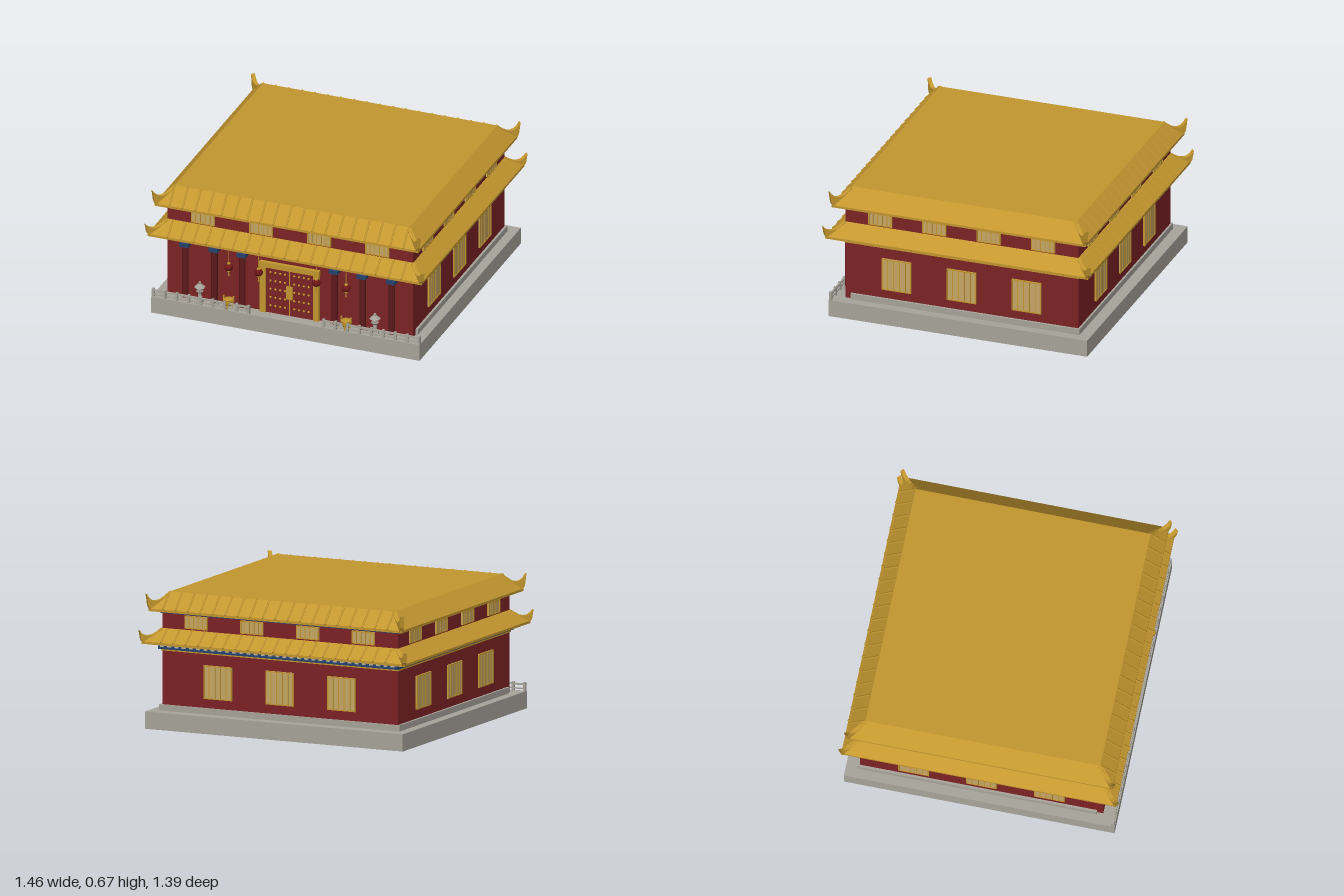
import * as THREE from 'three';

const mat = (name, color) => {
  const m = new THREE.MeshStandardMaterial({ color });
  m.name = name;
  return m;
};

export function createModel() {
  const M = {
    stone: mat('stone', 0xa8a49b),
    wall: mat('wall red', 0x7c2225),
    column: mat('column red', 0x5e1a1b),
    gold: mat('roof gold', 0xc4972f),
    pane: mat('window paper', 0xc6a765),
    blue: mat('frieze blue', 0x27436f),
    lantern: mat('lantern red', 0x6e1718),
    pale: mat('pale bracket', 0xb9b6a2),
  };
  const model = new THREE.Group();
  model.name = 'hall';

  const add = (parent, name, geo, m, x = 0, y = 0, z = 0) => {
    const mesh = new THREE.Mesh(geo, m);
    mesh.name = name;
    mesh.position.set(x, y, z);
    parent.add(mesh);
    return mesh;
  };
  const group = (name, parent = model) => {
    const g = new THREE.Group();
    g.name = name;
    parent.add(g);
    return g;
  };
  // Box placed by its bottom height and height
  const box = (p, name, m, w, h, d, x, y0, z) =>
    add(p, name, new THREE.BoxGeometry(w, h, d), m, x, y0 + h / 2, z);
  const cyl = (p, name, m, rt, rb, h, x, y0, z, n = 12) =>
    add(p, name, new THREE.CylinderGeometry(rt, rb, h, n), m, x, y0 + h / 2, z);

  // Terrace, plinth and the two storeys
  box(model, 'terrace', M.stone, 1.395, 0.085, 1.335, 0, 0, 0);
  box(model, 'plinth', M.stone, 1.3, 0.03, 1.18, 0, 0.085, -0.02);
  box(model, 'lowerWall', M.wall, 1.276, 0.345, 1.2, 0, 0.085, 0);
  box(model, 'upperWall', M.wall, 1.276, 0.16, 1.2, 0, 0.43, 0);

  // Friezes under the eaves
  box(model, 'goldTrim', M.gold, 1.284, 0.01, 1.21, 0, 0.38, 0);
  box(model, 'lowerFrieze', M.blue, 1.296, 0.027, 1.25, 0, 0.39, 0);
  box(model, 'upperFrieze', M.blue, 1.288, 0.014, 1.212, 0, 0.564, 0);
  const brackets = group('brackets');
  for (const s of [-1, 1]) {
    for (let i = -16; i <= 16; i++) {
      box(brackets, 'bracket', M.pale, 0.018, 0.01, 0.014, i * 0.039, 0.402, s * 0.627);
      box(brackets, 'bracket', M.pale, 0.014, 0.01, 0.018, s * 0.65, 0.402, i * 0.0375);
    }
  }

  // Hipped roof skirt with tile ribs on front and back and upturned corners
  const roof = (name, ex, ez, inset, y0, h) => {
    const g = group(name);
    const ix = ex - inset, iz = ez - inset, lip = 0.012;
    box(g, 'eave', M.gold, 2 * ex, lip, 2 * ez, 0, y0, 0);
    const geo = new THREE.BoxGeometry(2 * ex, h - lip, 2 * ez);
    const p = geo.attributes.position;
    for (let i = 0; i < p.count; i++) {
      if (p.getY(i) > 0) p.setXYZ(i, Math.sign(p.getX(i)) * ix, p.getY(i), Math.sign(p.getZ(i)) * iz);
    }
    geo.computeVertexNormals();
    add(g, 'slopes', geo, M.gold, 0, y0 + (h + lip) / 2, 0);
    const rib = new THREE.CylinderGeometry(0.005, 0.005, Math.hypot(inset, h - lip), 6);
    for (const s of [-1, 1]) {
      for (let i = -9; i <= 9; i++) {
        const r = add(g, 'tileRib', rib, M.gold, i * 0.0675, y0 + (h + lip) / 2, s * (iz + inset / 2));
        r.rotation.x = -s * Math.atan2(inset, h - lip);
      }
    }
    // Corner fins sweep down the hip and curl up at the tip
    const L = inset * Math.SQRT2;
    const fin = new THREE.Shape();
    fin.moveTo(0, 0);
    fin.lineTo(0, h);
    fin.quadraticCurveTo(L * 0.75, h * 0.12, L + 0.012, h - 0.004);
    fin.lineTo(L + 0.004, h * 0.3);
    fin.lineTo(L - 0.01, 0);
    const finGeo = new THREE.ExtrudeGeometry(fin, { depth: 0.02, bevelEnabled: false, curveSegments: 6 });
    finGeo.translate(0, 0, -0.01);
    for (const sx of [-1, 1]) {
      for (const sz of [-1, 1]) {
        add(g, 'cornerFin', finGeo, M.gold, sx * ix, y0, sz * iz).rotation.y = Math.atan2(-sz, sx);
      }
    }
  };
  roof('lowerRoof', 0.712, 0.678, 0.073, 0.418, 0.072);
  roof('upperRoof', 0.685, 0.655, 0.076, 0.577, 0.09);

  // Window: paper pane, gold frame and upright bars, facing +z
  const windowAt = (w, h, x, y, z, turn, bars) => {
    const g = group('window');
    add(g, 'pane', new THREE.BoxGeometry(w, h, 0.008), M.pane);
    for (const s of [-1, 1]) {
      add(g, 'frameSide', new THREE.BoxGeometry(0.006, h, 0.014), M.gold, s * (w / 2 - 0.003));
      add(g, 'frameRail', new THREE.BoxGeometry(w, 0.005, 0.014), M.gold, 0, s * (h / 2 - 0.0025));
    }
    for (let i = 1; i <= bars; i++) {
      add(g, 'bar', new THREE.BoxGeometry(0.004, h, 0.012), M.gold, w * (i / (bars + 1) - 0.5));
    }
    g.position.set(x, y, z);
    g.rotation.y = turn;
  };
  for (const s of [-1, 1]) {
    const faceZ = s > 0 ? 0 : Math.PI;
    for (const k of [-1.5, -0.5, 0.5, 1.5]) {
      windowAt(0.123, 0.064, k * 0.302, 0.529, s * 0.602, faceZ, 4);
      windowAt(0.123, 0.064, s * 0.64, 0.529, k * 0.28, s * Math.PI / 2, 4);
    }
    for (const k of [-1, 0, 1]) {
      windowAt(0.152, 0.165, s * 0.64, 0.243, k * 0.335, s * Math.PI / 2, 4);
    }
  }
  for (const k of [-1, 0, 1]) windowAt(0.152, 0.165, k * 0.335, 0.243, -0.602, Math.PI, 4);

  // Double door with studs
  const door = group('door');
  box(door, 'doorLintel', M.gold, 0.31, 0.028, 0.03, 0, 0.33, 0.605);
  for (const s of [-1, 1]) {
    box(door, 'doorJamb', M.gold, 0.03, 0.25, 0.026, s * 0.138, 0.085, 0.605);
    box(door, 'doorLeaf', M.wall, 0.121, 0.245, 0.012, s * 0.0625, 0.085, 0.604);
    box(door, 'handlePlate', M.gold, 0.014, 0.07, 0.006, s * 0.009, 0.175, 0.612);
    for (let r = 0; r < 5; r++) {
      for (let c = 0; c < 4; c++) {
        const stud = new THREE.SphereGeometry(0.006, 8, 6);
        add(door, 'stud', stud, M.gold, s * (0.024 + c * 0.025), 0.125 + r * 0.045, 0.611);
      }
    }
  }
  box(door, 'doorGap', M.gold, 0.004, 0.245, 0.006, 0, 0.085, 0.609);

  for (const s of [-1, 1]) {
    // Porch columns with stone feet and blue capitals
    for (const x of [0.24, 0.385, 0.537]) {
      const c = group('column');
      cyl(c, 'columnFoot', M.stone, 0.02, 0.023, 0.014, s * x, 0.085, 0.625);
      cyl(c, 'columnShaft', M.column, 0.016, 0.016, 0.28, s * x, 0.099, 0.625, 16);
      box(c, 'capital', M.blue, 0.046, 0.02, 0.042, s * x, 0.373, 0.625);
    }

    // Hanging lanterns
    for (const x of [0.15, 0.305]) {
      const l = group('lantern');
      const body = new THREE.SphereGeometry(0.022, 14, 10);
      add(l, 'lanternBody', body, M.lantern, s * x, 0.308, 0.64).scale.y = 0.85;
      cyl(l, 'lanternCap', M.gold, 0.009, 0.009, 0.005, s * x, 0.325, 0.64);
      cyl(l, 'lanternCap', M.gold, 0.009, 0.009, 0.005, s * x, 0.286, 0.64);
      cyl(l, 'cord', M.gold, 0.0018, 0.0018, 0.065, s * x, 0.328, 0.64, 6);
      cyl(l, 'tassel', M.gold, 0.002, 0.004, 0.026, s * x, 0.26, 0.64, 6);
    }

    // Tripod incense burner
    const burner = group('incenseBurner');
    const bowl = [[0, 0.1], [0.018, 0.104], [0.025, 0.118], [0.021, 0.13], [0.025, 0.135], [0, 0.135]];
    add(burner, 'bowl', new THREE.LatheGeometry(bowl.map(([r, y]) => new THREE.Vector2(r, y)), 14), M.gold, s * 0.305, 0, 0.64);
    for (let i = 0; i < 3; i++) {
      const a = Math.PI / 2 + (i * Math.PI * 2) / 3;
      cyl(burner, 'leg', M.gold, 0.005, 0.004, 0.027, s * 0.305 + 0.018 * Math.cos(a), 0.085, 0.64 + 0.018 * Math.sin(a), 8);
    }
    for (const k of [-1, 1]) box(burner, 'ear', M.gold, 0.006, 0.03, 0.01, s * 0.305 + k * 0.025, 0.122, 0.64);

    // Stone garden lantern
    const post = group('stoneLantern');
    const x = s * 0.455, z = 0.64;
    cyl(post, 'foot', M.stone, 0.018, 0.022, 0.016, x, 0.085, z, 6);
    cyl(post, 'stem', M.stone, 0.009, 0.011, 0.04, x, 0.101, z, 8);
    cyl(post, 'tray', M.stone, 0.02, 0.012, 0.01, x, 0.141, z, 6);
    cyl(post, 'lightBox', M.stone, 0.013, 0.013, 0.022, x, 0.151, z, 6);
    cyl(post, 'cap', M.stone, 0.007, 0.029, 0.018, x, 0.172, z, 6);
    add(post, 'finial', new THREE.SphereGeometry(0.007, 8, 6), M.stone, x, 0.195, z);

    // Front balustrade
    const rail = group('balustrade');
    box(rail, 'topRail', M.stone, 0.5, 0.008, 0.01, s * 0.443, 0.114, 0.657);
    box(rail, 'lowRail', M.stone, 0.5, 0.006, 0.008, s * 0.443, 0.094, 0.657);
    for (let i = 0; i <= 8; i++) {
      box(rail, 'railPost', M.stone, 0.012, 0.043, 0.014, s * (0.195 + i * 0.062), 0.085, 0.657);
    }
  }
  return model;
}
